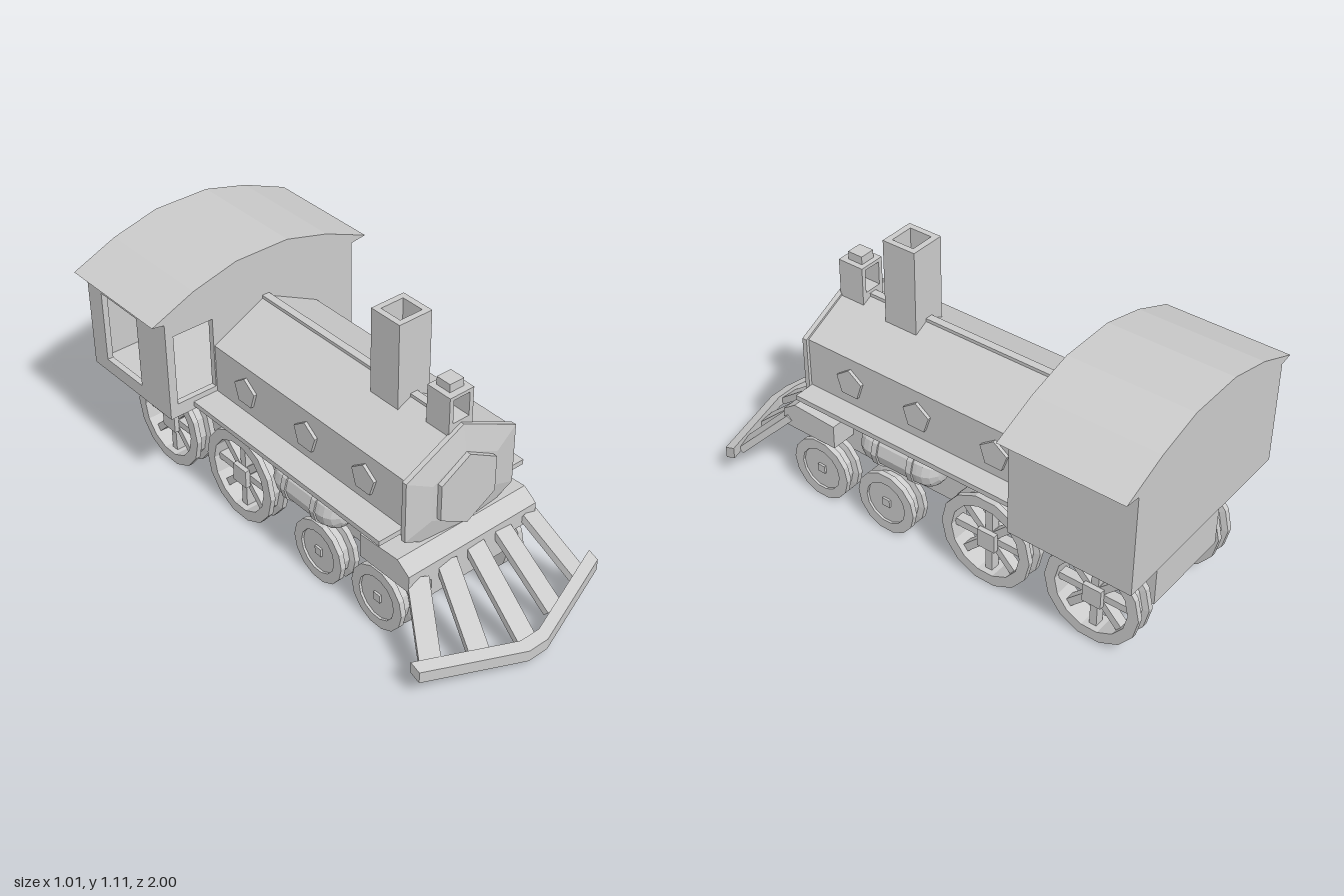
import * as THREE from 'three';

const mat = new THREE.MeshStandardMaterial({ color: 0xcccccc, flatShading: true });
const CX = 0.011; // centre line of the boiler and running gear

function add(parent, name, geo, x = 0, y = 0, z = 0) {
  const m = new THREE.Mesh(geo, mat);
  m.name = name;
  m.position.set(x, y, z);
  parent.add(m);
  return m;
}

// Box given by its minimum and maximum on each axis
function box(parent, name, x0, x1, y0, y1, z0, z1) {
  return add(parent, name, new THREE.BoxGeometry(x1 - x0, y1 - y0, z1 - z0),
    (x0 + x1) / 2, (y0 + y1) / 2, (z0 + z1) / 2);
}

const path = (pts) => pts.map(([a, b]) => new THREE.Vector2(a, b));
const rect = (a0, a1, b0, b1) => [[a0, b0], [a1, b0], [a1, b1], [a0, b1]];

function extrude(pts, depth, hole) {
  const s = new THREE.Shape(path(pts));
  if (hole) s.holes.push(new THREE.Path(path(hole)));
  return new THREE.ExtrudeGeometry(s, { depth, bevelEnabled: false });
}

// (z, y) profile extruded across x, centred on x = 0
function sideProfile(pts, width, hole) {
  return extrude(pts, width, hole).translate(0, 0, -width / 2).rotateY(-Math.PI / 2);
}

// Hexagonal section along z, widened in x
function hex(rBack, rFront, length, widen) {
  return new THREE.CylinderGeometry(rFront, rBack, length, 6).rotateX(Math.PI / 2).scale(widen, 1, 1);
}

// Tapered-free bar running from a to b
function bar(parent, name, a, b, w, t) {
  const p = new THREE.Vector3(...a), q = new THREE.Vector3(...b);
  const m = add(parent, name, new THREE.BoxGeometry(w, t, p.distanceTo(q)));
  m.position.copy(p).add(q).multiplyScalar(0.5);
  m.lookAt(q);
  return m;
}

function lathe(pts, seg) {
  return new THREE.LatheGeometry(path(pts), seg);
}

function buildCab() {
  const cab = new THREE.Group();
  cab.name = 'cab';
  const zb = -1, zf = -0.495, t = 0.025, xl = -0.452, xr = 0.436, y0 = 0.445;
  const under = [[xr, 0.868], [0.3, 0.935], [0.12, 0.984], [-0.12, 0.984], [-0.31, 0.935], [xl, 0.868]];
  const wall = [[xl, y0], [xr, y0], ...under];
  add(cab, 'cabFrontWall', extrude(wall, t, rect(-0.417, -0.24, 0.502, 0.805)), 0, 0, zf - t);
  add(cab, 'cabBackWall', extrude(wall, t), 0, 0, zb);
  const side = rect(zb + 0.001, zf - 0.001, y0, 0.87);
  add(cab, 'cabWindowWall', sideProfile(side, t, rect(-0.91, -0.68, 0.502, 0.805)), xl + t / 2);
  add(cab, 'cabPlainWall', sideProfile(side, t), xr - t / 2);
  box(cab, 'cabFloor', xl + 0.002, xr - 0.002, y0 + 0.001, y0 + 0.025, zb + 0.002, zf - 0.002);
  // Arched roof shell with eaves
  const roof = [[0.505, 0.877], [0.31, 0.957], [0.12, 1.007], [-0.12, 1.007], [-0.316, 0.957], [-0.505, 0.877]];
  add(cab, 'cabRoof', extrude([...roof, ...under.slice().reverse()], zf - zb), 0, 0, zb);
  return cab;
}

function buildBoiler() {
  const g = new THREE.Group();
  g.name = 'boiler';
  g.position.x = CX;
  add(g, 'boilerBody', hex(0.247, 0.247, 1.06, 1.15), 0, 0.56, 0.035);
  add(g, 'smokeboxRim', hex(0.255, 0.255, 0.02, 1.17), 0, 0.56, 0.572);
  add(g, 'smokeboxFront', hex(0.255, 0.15, 0.02, 1.17), 0, 0.56, 0.592);
  add(g, 'smokeboxDoor', hex(0.15, 0.15, 0.03, 1), 0, 0.56, 0.607);
  box(g, 'topRail', -0.016, 0.016, 0.78, 0.812, -0.495, 0.56);
  // Pentagonal portholes on both sides
  for (const s of [-1, 1]) for (const z of [0.36, 0.043, -0.306]) {
    const p = new THREE.CylinderGeometry(0.062, 0.062, 0.02, 5).rotateX(Math.PI / 2)
      .rotateZ(Math.PI).rotateY(Math.PI / 2);
    add(g, 'porthole', p, s * 0.249, 0.577, z);
  }
  // Open square chimney
  const chimney = extrude(rect(-0.074, 0.074, -0.072, 0.072), 0.36, rect(-0.05, 0.05, -0.048, 0.048));
  add(g, 'chimney', chimney.rotateX(-Math.PI / 2), 0, 0.758, 0.26);
  // Bell housing with a through opening
  add(g, 'bellHousing', extrude(rect(-0.055, 0.055, 0.767, 0.937), 0.112, rect(-0.037, 0.037, 0.826, 0.923)), 0, 0, 0.455);
  box(g, 'bellCap', -0.032, 0.032, 0.935, 0.97, 0.475, 0.54);
  return g;
}

function buildWheel(large) {
  const g = new THREE.Group();
  g.name = large ? 'drivingWheel' : 'leadingWheel';
  const R = large ? 0.198 : 0.134, rIn = large ? 0.153 : 0.092, w = 0.044;
  // Double rim with a groove between
  const rim = [[rIn, -w], [R, -w], [R, -0.022], [R - 0.024, -0.016], [R - 0.024, 0.016],
    [R, 0.022], [R, w], [rIn, w], [rIn, -w]];
  add(g, 'rim', lathe(rim, 14).rotateZ(Math.PI / 2));
  if (large) {
    for (let i = 0; i < 4; i++) {
      const s = add(g, 'spokePair', new THREE.BoxGeometry(0.04, 0.32, 0.03));
      s.rotation.x = i * Math.PI / 4;
    }
    add(g, 'hub', new THREE.BoxGeometry(0.08, 0.078, 0.078));
  } else {
    add(g, 'disc', new THREE.CylinderGeometry(0.1, 0.1, 0.068, 14).rotateZ(Math.PI / 2));
    add(g, 'hub', new THREE.BoxGeometry(0.086, 0.034, 0.034));
  }
  return g;
}

function buildRunningGear() {
  const g = new THREE.Group();
  g.name = 'runningGear';
  g.position.x = CX;
  const chassis = [[-0.96, 0.21], [0.66, 0.21], [0.66, 0.287], [0.57, 0.345], [-0.13, 0.345], [-0.29, 0.45], [-0.96, 0.45]];
  add(g, 'chassis', sideProfile(chassis, 0.4));
  for (const [z, large] of [[0.488, false], [0.163, false], [-0.306, true], [-0.767, true]]) {
    const y = large ? 0.207 : 0.139;
    for (const s of [-1, 1]) {
      const wheel = buildWheel(large);
      wheel.position.set(s * 0.259, y, z);
      g.add(wheel);
    }
    add(g, 'axle', new THREE.CylinderGeometry(0.022, 0.022, 0.5, 8).rotateZ(Math.PI / 2), 0, y, z);
  }
  return g;
}

function buildTank() {
  const g = new THREE.Group();
  g.name = 'airTank';
  const r = 0.085, h = 0.188;
  const end = [[0, h], [0.04, h - 0.006], [0.068, h - 0.026], [0.082, h - 0.052], [r, h - 0.075]];
  const profile = [...end.map(([a, b]) => [a, -b]), ...end.slice().reverse()];
  add(g, 'tankBody', lathe(profile, 12).rotateX(Math.PI / 2));
  for (const z of [-0.082, 0.082])
    add(g, 'tankBand', new THREE.CylinderGeometry(0.092, 0.092, 0.025, 12).rotateX(Math.PI / 2), 0, 0, z);
  return g;
}

function buildCowcatcher() {
  const g = new THREE.Group();
  g.name = 'cowcatcher';
  g.position.x = CX;
  const beam = [[0.405, 0.285], [0.66, 0.285], [0.66, 0.355], [0.6, 0.397], [0.405, 0.385]];
  add(g, 'bufferBeam', sideProfile(beam, 0.616));
  // Slats fan out from the beam to the lower bar
  for (let i = -2; i <= 2; i++) {
    const a = Math.abs(i);
    bar(g, 'slat', [i * 0.133, 0.32, 0.645], [i * 0.181, 0.077 + a * 0.017, 0.955 - a * 0.053], 0.078, 0.028);
  }
  // Swept lower bar, dropping towards its tip
  const v = [[-0.44, 0.82], [-0.045, 0.955], [0.045, 0.955], [0.44, 0.82], [0.44, 0.865], [0.045, 1], [-0.045, 1], [-0.44, 0.865]];
  const geo = extrude(v, 0.048).rotateX(Math.PI / 2);
  const p = geo.attributes.position;
  for (let i = 0; i < p.count; i++) p.setY(i, p.getY(i) + 0.094 + (1 - p.getZ(i)) * 0.37);
  geo.computeVertexNormals();
  add(g, 'lowerBar', geo);
  return g;
}

export function createModel() {
  const model = new THREE.Group();
  model.name = 'steamLocomotive';
  model.add(buildCab(), buildBoiler(), buildRunningGear(), buildCowcatcher());
  // Running boards and the tanks slung under them
  for (const s of [-1, 1]) {
    const a = s * 0.22, b = s * 0.346;
    box(model, 'runningBoard', Math.min(a, b), Math.max(a, b), 0.458, 0.479, -0.495, 0.56);
    const tank = buildTank();
    tank.position.set(s * 0.25, 0.375, 0.108);
    model.add(tank);
  }
  return model;
}
